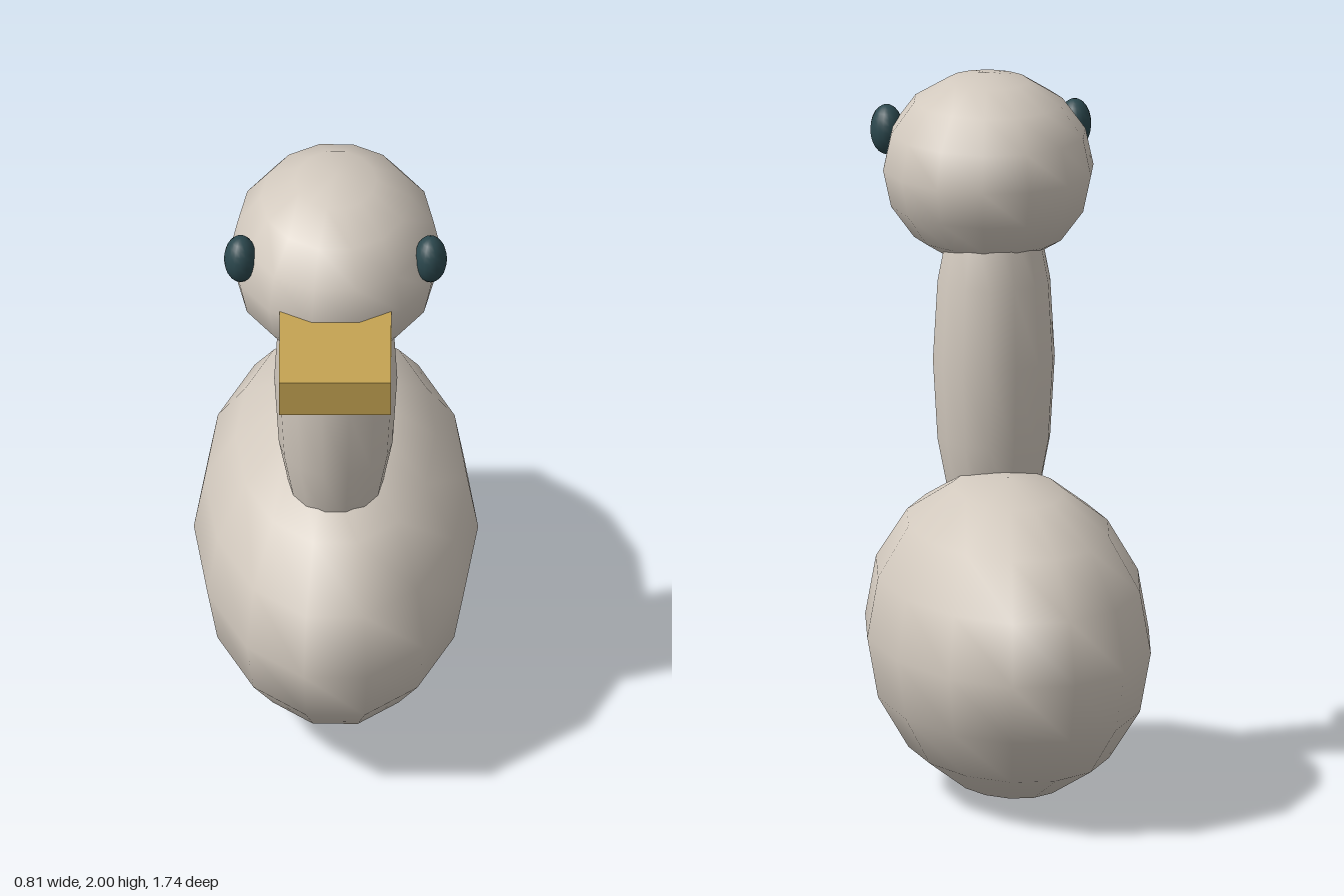
import * as THREE from 'three';

function material(name, color) {
  const m = new THREE.MeshStandardMaterial({ color });
  m.name = name;
  return m;
}

// Smooth ellipsoid with the given centre and radii
function ellipsoid(name, mat, center, radii, around = 14, rings = 8) {
  const geometry = new THREE.SphereGeometry(1, around, rings).scale(...radii);
  const mesh = new THREE.Mesh(geometry, mat);
  mesh.name = name;
  mesh.position.set(...center);
  return mesh;
}

export function createModel() {
  const plumage = material('warm grey plumage', 0xd2c9be);
  const ochre = material('ochre bill', 0xc4a352);
  const dark = material('dark teal eye', 0x2b474d);

  const model = new THREE.Group();
  model.name = 'duck';

  // Body, neck and head overlap as simple ellipsoids
  model.add(
    ellipsoid('body', plumage, [0, 0.4545, -0.154], [0.404, 0.4545, 0.735]),
    ellipsoid('neck', plumage, [0, 1.195, 0.127], [0.175, 0.6, 0.179]),
    ellipsoid('head', plumage, [0, 1.7245, 0.237], [0.302, 0.2755, 0.361])
  );

  // Flat box bill, its back end sunk into the head
  const bill = new THREE.Mesh(new THREE.BoxGeometry(0.318, 0.114, 0.474), ochre);
  bill.name = 'bill';
  bill.position.set(0, 1.678, 0.635);
  model.add(bill);

  // Eyes mirrored on the sides of the head
  for (const side of [1, -1]) {
    const name = side > 0 ? 'leftEye' : 'rightEye';
    model.add(ellipsoid(name, dark, [side * 0.27, 1.812, 0.386], [0.047, 0.072, 0.057], 16, 12));
  }

  return model;
}
